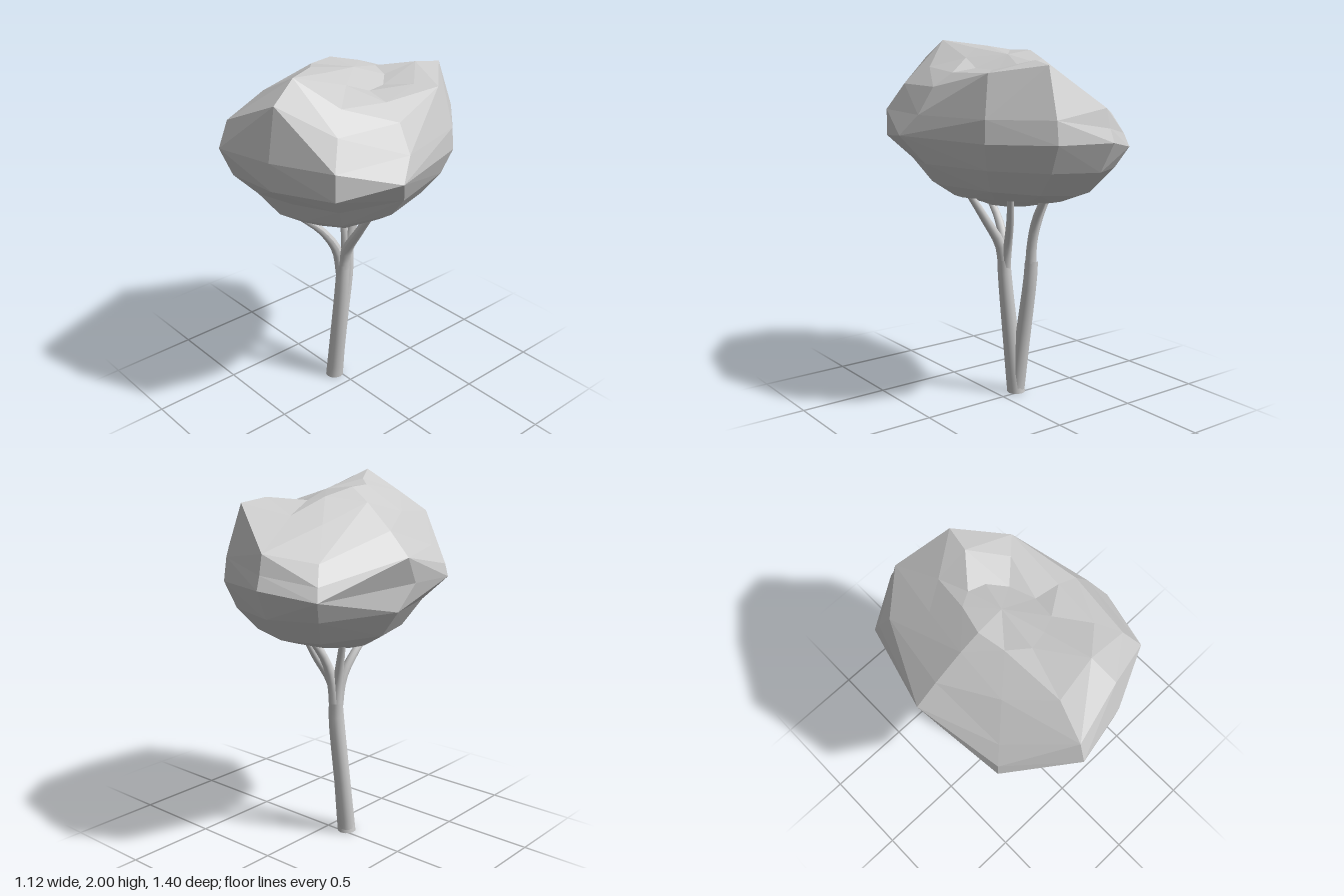
import * as THREE from 'three';

const material = new THREE.MeshStandardMaterial({ color: 0xcccccc });
const leafMaterial = new THREE.MeshStandardMaterial({ color: 0xcccccc, flatShading: true });

// Tapered round limb swept along a smooth curve; a ring centred on the ground is laid flat
function limb(name, points, r0, r1) {
  const curve = new THREE.CatmullRomCurve3(points.map(p => new THREE.Vector3(...p)));
  const steps = 10, sides = 12;
  const geo = new THREE.TubeGeometry(curve, steps, 1, sides, false);
  const pos = geo.attributes.position;
  const v = new THREE.Vector3();
  for (let i = 0; i <= steps; i++) {
    const centre = curve.getPointAt(i / steps);
    const r = r0 + (r1 - r0) * i / steps;
    for (let j = 0; j <= sides; j++) {
      const k = i * (sides + 1) + j;
      v.fromBufferAttribute(pos, k).sub(centre).multiplyScalar(r).add(centre);
      pos.setXYZ(k, v.x, centre.y < 0.01 ? 0 : v.y, v.z);
    }
  }
  geo.computeVertexNormals();
  const mesh = new THREE.Mesh(geo, material);
  mesh.name = name;
  return mesh;
}

// Crown: ten columns of stacked rings, each column with its own reach and top heights
function crown() {
  const outline = [
    [0.53, 0.06], [0.44, 0.48], [0.13, 0.63], [-0.18, 0.70], [-0.48, 0.43],
    [-0.56, -0.04], [-0.41, -0.55], [-0.16, -0.70], [0.14, -0.63], [0.39, -0.37],
  ];
  const lean = [-0.6, 0, 0.3, 1.8, -0.3, 1, -0.5, -0.4, -0.3, -0.2]; // widest point low (-) or high (+)
  const shoulder = [1.77, 1.77, 1.90, 1.77, 1.63, 1.75, 1.63, 1.68, 1.89, 1.85];
  const upper = [1.84, 1.86, 2.00, 1.89, 1.81, 1.88, 1.79, 1.83, 1.91, 1.86];
  const inner = [1.86, 1.91, 1.96, 1.97, 1.95, 1.95, 1.91, 1.89, 1.87, 1.85];
  const shoulderReach = [0.78, 0.84, 0.92, 0.93, 0.85, 0.78, 0.86, 0.93, 0.83, 0.83];
  const upperReach = [0.57, 0.62, 0.70, 0.66, 0.60, 0.50, 0.55, 0.55, 0.60, 0.60];
  const n = outline.length;
  const pts = outline.map(([x, z], c) => {
    const front = Math.max(0, z);
    const slant = 0.1 * x - 0.06 * z; // underside hangs lowest at the front right
    const tilt = 0.1 * x - 0.06 * front;
    const tuck = 1 - 0.26 * front; // underside slopes in more at the front
    const l = lean[c], s = shoulder[c];
    const high = Math.min(1.63, s - 0.1);
    const column = [
      [0.28 * tuck, 1.135 + slant * 0.8], [0.48 * tuck, 1.155 + slant * 0.5], [0.70 * tuck, 1.23 + tilt * 0.5],
      [0.89 * tuck, 1.36 + tilt * 0.3], [l > 0 ? 1 - 0.05 * l : 1, Math.min(1.51 - 0.05 * front, high - 0.07)],
      [l < 0 ? 1 + 0.09 * l : 1, high], [shoulderReach[c], s],
      [upperReach[c], upper[c]], [0.31, inner[c]],
    ];
    return column.map(([k, y]) => [x * k, y, z * k]);
  });
  // Pointed corners at the sides
  pts[0][4] = [0.56, 1.52, 0.15];
  pts[5][4] = [-0.52, 1.48, 0.08];

  const verts = [];
  const tri = (a, b, c) => verts.push(...a, ...b, ...c);
  // Split each quad along the diagonal that bulges outwards
  const quad = (a, b, c, d) => {
    const [p, q, r, s] = [a, b, c, d].map(w => new THREE.Vector3(...w));
    const normal = q.sub(p).cross(r.sub(p));
    if (normal.dot(s.sub(p)) > 0) { tri(a, b, d); tri(b, c, d); }
    else { tri(a, b, c); tri(a, c, d); }
  };
  const bottom = [-0.03, 1.135, 0], top = [-0.01, 1.93, -0.03];
  for (let c = 0; c < n; c++) {
    const a = pts[c], b = pts[(c + 1) % n], last = a.length - 1;
    for (let r = 0; r < last; r++) quad(a[r], a[r + 1], b[r + 1], b[r]);
    tri(bottom, a[0], b[0]);
    tri(top, b[last], a[last]);
  }
  const geo = new THREE.BufferGeometry();
  geo.setAttribute('position', new THREE.Float32BufferAttribute(verts, 3));
  geo.computeVertexNormals();
  const mesh = new THREE.Mesh(geo, leafMaterial);
  mesh.name = 'crown';
  return mesh;
}

export function createModel() {
  const tree = new THREE.Group();
  tree.name = 'tree';
  tree.add(crown());

  // Two trunks sharing one foot
  const foot = [-0.115, 0, 0.027];
  tree.add(limb('frontTrunk', [foot, [-0.075, 0.34, 0.028], [-0.035, 0.7, 0.03], [-0.028, 0.8, 0.03]], 0.052, 0.037));
  tree.add(limb('backTrunk', [foot, [-0.12, 0.3, -0.02], [-0.126, 0.7, -0.085], [-0.13, 0.8, -0.09]], 0.048, 0.037));
  const base = new THREE.Mesh(new THREE.CircleGeometry(0.052, 12).rotateX(Math.PI / 2), material);
  base.name = 'trunkBase';
  base.position.set(...foot);
  tree.add(base);

  // Branches: from inside a trunk, round a bend, to an end inside the crown
  const frontFork = [-0.035, 0.7, 0.03], backFork = [-0.126, 0.7, -0.085];
  const branches = [
    [[frontFork, [-0.005, 0.88, 0.03], [0.09, 1.03, 0.03], [0.23, 1.23, 0.03]], 0.036],
    [[frontFork, [-0.05, 0.89, 0.06], [-0.07, 1.03, 0.15], [-0.08, 1.14, 0.27]], 0.034],
    [[backFork, [-0.14, 0.9, -0.085], [-0.17, 1.03, -0.1], [-0.215, 1.17, -0.13]], 0.034],
    [[backFork, [-0.12, 0.9, -0.105], [-0.11, 1.04, -0.15], [-0.09, 1.2, -0.26]], 0.034],
    [[frontFork, [-0.025, 0.88, -0.01], [0.02, 1.04, -0.09], [0.07, 1.22, -0.16]], 0.028],
  ];
  for (const [path, r] of branches) tree.add(limb('branch', path, r, 0.017));
  return tree;
}
